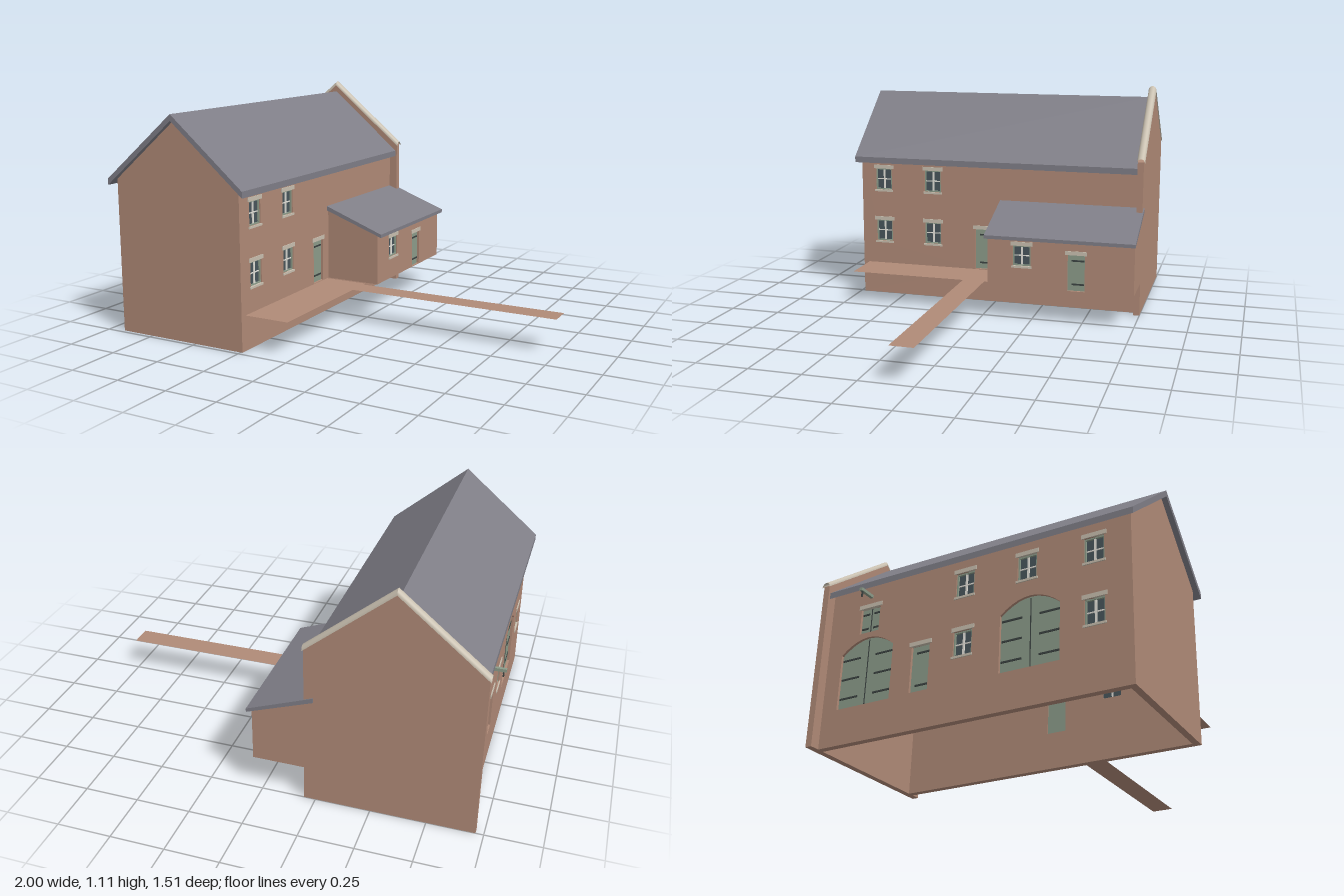
import * as THREE from 'three';

const mat = (name, color, side = THREE.FrontSide) => {
  const m = new THREE.MeshStandardMaterial({ color, side });
  m.name = name;
  return m;
};

export function createModel() {
  const brick = mat('brick', 0xb08a77);
  const path = mat('path', 0xb08a77, THREE.DoubleSide);
  path.color = brick.color;
  const slate = mat('slate', 0x7f7e87);
  const stone = mat('stone', 0xc9c0b0, THREE.DoubleSide);
  const green = mat('green paint', 0x8c9c8a);
  const glass = mat('dark glass', 0x48555b);
  const white = mat('white paint', 0xe4e2da);
  const iron = mat('iron', 0x3c4342);

  const house = new THREE.Group();
  house.name = 'house';
  const T = 0.03; // wall thickness
  const FLOOR = 0.165;

  const add = (parent, name, geometry, material) => {
    const m = new THREE.Mesh(geometry, material);
    m.name = name;
    parent.add(m);
    return m;
  };
  const box = (parent, name, material, w, h, d, x, y, z) =>
    add(parent, name, new THREE.BoxGeometry(w, h, d).translate(x, y, z), material);
  const polygon = pts => new THREE.Shape(pts.map(p => new THREE.Vector2(...p)));

  // Profile in x,y extruded from z0 to z1
  const alongZ = (name, pts, z0, z1, material) => add(house, name,
    new THREE.ExtrudeGeometry(polygon(pts), { depth: z1 - z0, bevelEnabled: false }).translate(0, 0, z0), material);

  // Profile in z,y extruded from x0 to x1
  const alongX = (shape, x0, x1) =>
    new THREE.ExtrudeGeometry(shape, { depth: x1 - x0, bevelEnabled: false, curveSegments: 10 })
      .rotateY(-Math.PI / 2).translate(x1, 0, 0);

  // Outline of an opening, with a curved head when rise > 0
  const outline = ({ z, y, w, h, rise = 0 }) => {
    const s = new THREE.Shape();
    s.moveTo(z - w / 2, y);
    s.lineTo(z + w / 2, y);
    s.lineTo(z + w / 2, y + h);
    if (rise) s.quadraticCurveTo(z, y + h + 2 * rise, z - w / 2, y + h);
    else s.lineTo(z - w / 2, y + h);
    s.closePath();
    return s;
  };

  // Fill one opening; face is the outer wall plane, s the outward direction
  const fit = (o, face, s) => {
    const g = new THREE.Group();
    g.name = o.kind;
    house.add(g);
    const { z, y, w, h } = o;
    const at = d => face + s * d;
    if (o.kind === 'window') {
      box(g, 'pane', glass, 0.008, h, w, at(-0.018), y + h / 2, z);
      for (const e of [-1, 1]) {
        box(g, 'jamb', green, 0.016, h, 0.006, at(-0.014), y + h / 2, z + e * (w / 2 - 0.003));
        box(g, 'rail', green, 0.016, 0.006, w, at(-0.014), y + h / 2 + e * (h / 2 - 0.003), z);
      }
      box(g, 'mullion', white, 0.014, h, 0.009, at(-0.016), y + h / 2, z);
      box(g, 'glazingBar', white, 0.012, 0.005, w, at(-0.016), y + h / 2, z);
      box(g, 'sill', stone, 0.024, 0.01, w + 0.012, at(-0.007), y - 0.005, z);
    } else {
      const a = at(-0.012), b = at(-0.026);
      add(g, 'leaf', alongX(outline(o), Math.min(a, b), Math.max(a, b)), green);
      if (o.double) {
        box(g, 'leafJoint', iron, 0.002, h + (o.rise || 0) * 0.9, 0.004, at(-0.011), y + (h + (o.rise || 0) * 0.9) / 2, z);
      }
      const strap = o.double ? w * 0.34 : w * 0.72;
      const sides = o.double ? [-1, 1] : [-s];
      for (const t of o.hinges) for (const e of sides) {
        box(g, 'hinge', iron, 0.004, 0.008, strap, at(-0.011), y + t, z + e * (w / 2 - strap / 2 - 0.004));
      }
    }
    if (!o.rise) box(g, 'lintel', stone, 0.024, 0.019, w + 0.02, at(-0.008), y + h + 0.0095, z);
  };

  // Long wall with openings cut through and filled
  const sideWall = (name, face, s, z0, z1, y0, y1, openings) => {
    const shape = polygon([[z0, y0], [z1, y0], [z1, y1], [z0, y1]]);
    shape.holes = openings.map(outline);
    const inner = face - s * T;
    add(house, name, alongX(shape, Math.min(face, inner), Math.max(face, inner)), brick);
    openings.forEach(o => fit(o, face, s));
  };

  const win = (z, y) => ({ kind: 'window', z, y, w: 0.088, h: 0.112 });
  const door = (z, h = 0.21, w = 0.09) => ({ kind: 'door', z, y: FLOOR + 0.003, w, h, hinges: [0.032, h - 0.03] });
  const archDoor = z => ({
    kind: 'archedDoor', z, y: FLOOR, w: 0.27, h: 0.255, rise: 0.06, double: true, hinges: [0.05, 0.14, 0.23],
  });
  const LOW = 0.285, HIGH = 0.56;

  // Main walls
  sideWall('leftWall', -0.24, 1, -0.72, 0.73, 0, 0.733, [
    win(0.61, LOW), win(0.34, LOW), win(0.61, HIGH), win(0.34, HIGH), door(0.065),
  ]);
  sideWall('rightWall', -0.92, -1, -0.72, 0.73, 0, 0.733, [
    win(0.57, LOW), win(-0.025, LOW), win(0.57, HIGH), win(0.27, HIGH), win(-0.025, HIGH),
    door(-0.23), archDoor(0.285), archDoor(-0.51),
    { kind: 'loftDoor', z: -0.51, y: 0.505, w: 0.1, h: 0.12, double: true, hinges: [0.025, 0.095] },
  ]);
  alongZ('frontGable', [[-0.92, 0], [-0.24, 0], [-0.24, 0.733], [-0.58, 1.02], [-0.92, 0.733]], 0.7, 0.7301, brick);
  alongZ('backGable', [[-0.965, 0], [-0.197, 0], [-0.197, 0.768], [-0.581, 1.088], [-0.965, 0.768]], -0.75, -0.72, brick);

  // Main roof
  alongZ('mainRoof', [
    [-0.955, 0.705], [-0.58, 1.02], [-0.205, 0.705], [-0.205, 0.735], [-0.58, 1.05], [-0.955, 0.735],
  ], -0.72, 0.755, slate);

  // Rounded coping on the back gable, one half-round per pitch
  for (const s of [-1, 1]) {
    const g = new THREE.PlaneGeometry(1, 1, 1, 12);
    const p = g.attributes.position;
    for (let i = 0; i < p.count; i++) {
      const u = p.getX(i) + 0.5, a = (p.getY(i) + 0.5) * Math.PI;
      p.setXYZ(i, -0.581 + s * 0.39 * u, 1.083 - 0.322 * u + 0.023 * Math.sin(a), -0.736 + 0.02 * Math.cos(a));
    }
    g.computeVertexNormals();
    add(house, 'coping', g, stone);
  }

  // Lean-to on the left side
  sideWall('leanToWall', 0.04, 1, -0.75, -0.035, FLOOR, 0.415, [
    { ...win(-0.205, 0.275), h: 0.1 }, door(-0.472, 0.178, 0.085),
  ]);
  const leanToEnd = [[-0.24, FLOOR], [0.04, FLOOR], [0.04, 0.415], [-0.24, 0.518]];
  alongZ('leanToFront', leanToEnd, -0.065, -0.0349, brick);
  alongZ('leanToBack', leanToEnd, -0.7501, -0.72, brick);
  alongZ('leanToRoof', [[-0.24, 0.515], [0.065, 0.405], [0.065, 0.422], [-0.24, 0.537]], -0.755, -0.022, slate);

  // Raised terrace and the long walkway leading away from it
  const slab = (name, x0, x1, z0, z1) => add(house, name,
    new THREE.PlaneGeometry(x1 - x0, z1 - z0).rotateX(-Math.PI / 2)
      .translate((x0 + x1) / 2, FLOOR, (z0 + z1) / 2), path);
  slab('terrace', -0.24, -0.02, -0.02, 0.7);
  slab('walkway', -0.02, 1, 0, 0.11);

  // Hoist above the loft door
  const hoist = new THREE.Group();
  hoist.name = 'hoist';
  house.add(hoist);
  box(hoist, 'beam', green, 0.09, 0.014, 0.014, -0.955, 0.679, -0.51);
  box(hoist, 'hook', iron, 0.006, 0.026, 0.006, -0.988, 0.66, -0.51);

  return house;
}
